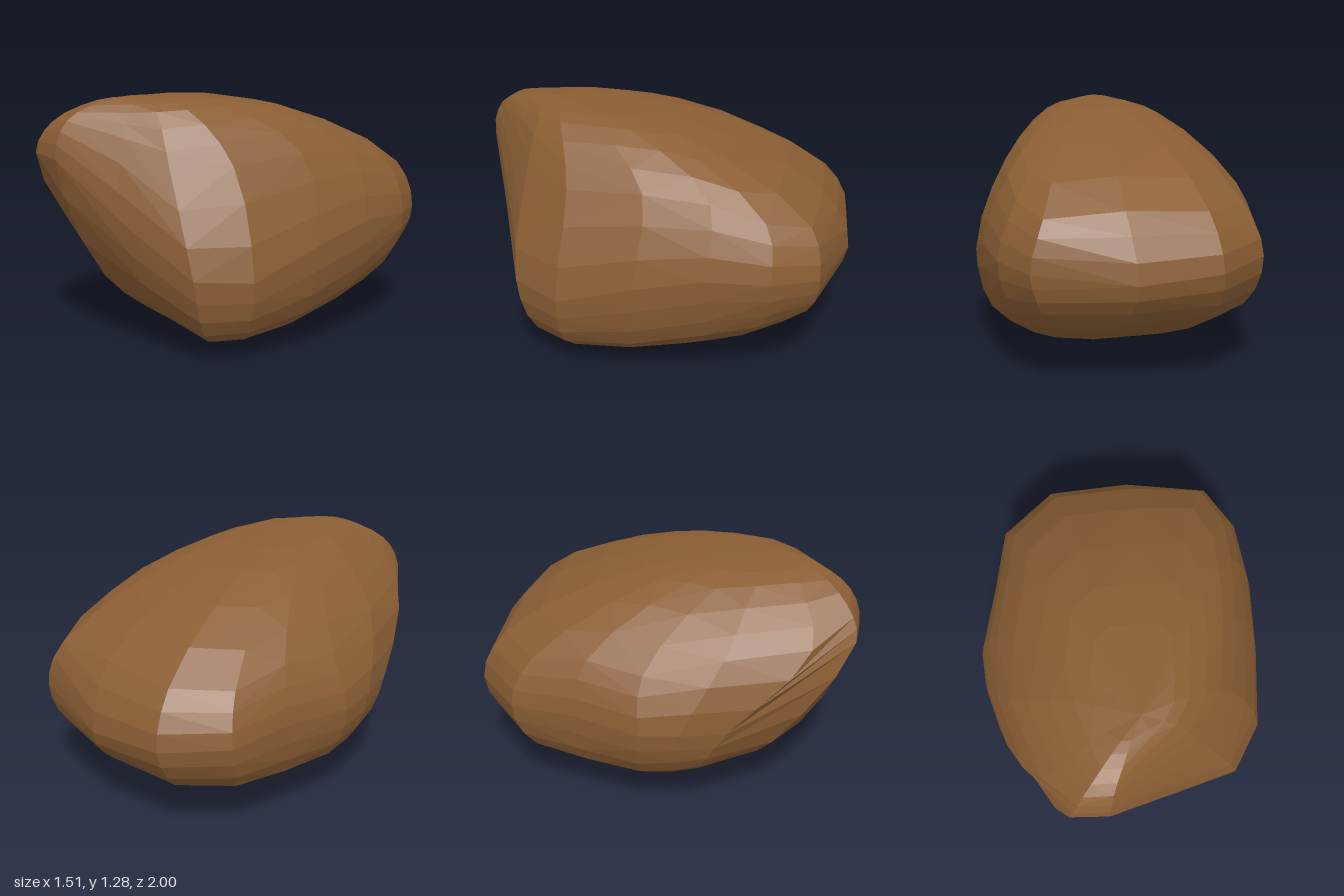
import * as THREE from 'three';

// Meridians running round the boulder from the front tip towards +x.
// Each row: shoulder x,y,z, widest point x,y,z, foot x,y,z.
const MERIDIANS = [
  [-0.06, 1.17, 0.94, -0.08, 0.98, 1.00, -0.08, 0.34, 0.73],
  [0.18, 1.10, 0.77, 0.25, 0.70, 0.83, 0.29, 0.25, 0.66],
  [0.42, 0.93, 0.65, 0.61, 0.45, 0.66, 0.57, 0.15, 0.57],
  [0.56, 0.97, 0.38, 0.75, 0.43, 0.40, 0.68, 0.16, 0.38],
  [0.60, 1.00, -0.02, 0.755, 0.55, 0.00, 0.68, 0.19, 0.03],
  [0.60, 0.98, -0.36, 0.735, 0.63, -0.35, 0.66, 0.28, -0.34],
  [0.58, 0.90, -0.63, 0.68, 0.62, -0.68, 0.60, 0.34, -0.63],
  [0.47, 0.85, -0.84, 0.54, 0.60, -0.90, 0.48, 0.39, -0.84],
  [0.08, 0.88, -0.85, 0.04, 0.55, -1.00, 0.08, 0.33, -0.86],
  [-0.33, 0.86, -0.82, -0.38, 0.58, -0.95, -0.35, 0.33, -0.81],
  [-0.56, 0.85, -0.60, -0.64, 0.60, -0.70, -0.57, 0.33, -0.60],
  [-0.60, 0.90, -0.30, -0.69, 0.62, -0.35, -0.62, 0.31, -0.30],
  [-0.65, 0.88, 0.00, -0.76, 0.60, 0.00, -0.66, 0.31, -0.02],
  [-0.57, 0.97, 0.39, -0.735, 0.61, 0.20, -0.66, 0.34, 0.14],
  [-0.42, 1.00, 0.80, -0.66, 0.61, 0.43, -0.63, 0.37, 0.29],
  [-0.21, 1.15, 0.94, -0.28, 0.99, 1.00, -0.45, 0.45, 0.63],
];
const TOP = new THREE.Vector3(0.08, 1.285, 0.58);
const BOTTOM = new THREE.Vector3(0.26, 0, 0.15);
const ROWS = 18;

// Point halfway out from a pole to a control point, kept close to the pole's height
function cap(pole, p, drop) {
  const q = pole.clone().lerp(p, 0.5);
  q.y = THREE.MathUtils.lerp(pole.y, p.y, drop);
  return q;
}

// Smooth curve from top pole to bottom pole along one meridian
function meridianPoints(m) {
  const [shoulder, waist, foot] = [0, 3, 6].map((k) => new THREE.Vector3().fromArray(m, k));
  return new THREE.CatmullRomCurve3([
    TOP, cap(TOP, shoulder, 0.18), shoulder, waist, foot, cap(BOTTOM, foot, 0.29), BOTTOM,
  ]).getPoints(ROWS);
}

function boulderGeometry() {
  const columns = MERIDIANS.map(meridianPoints);
  const corners = [];
  columns.forEach((left, j) => {
    const right = columns[(j + 1) % columns.length];
    for (let i = 0; i < ROWS; i++) {
      const [a, b, c, d] = [left[i], left[i + 1], right[i + 1], right[i]];
      if (i === 0) corners.push(a, b, c);
      else if (i === ROWS - 1) corners.push(a, b, d);
      else {
        // Split each patch along the diagonal that bulges outwards
        const normal = b.clone().sub(a).cross(c.clone().sub(a));
        const convex = d.clone().sub(a).dot(normal) <= 0;
        corners.push(...(convex ? [a, b, c, a, c, d] : [a, b, d, b, c, d]));
      }
    }
  });
  const geometry = new THREE.BufferGeometry().setFromPoints(corners);
  geometry.computeVertexNormals();
  return geometry;
}

export function createModel() {
  const model = new THREE.Group();
  model.name = 'rock';
  const stone = new THREE.MeshStandardMaterial({ color: 0x8b5e34 });
  stone.name = 'brownStone';
  stone.flatShading = true;
  const boulder = new THREE.Mesh(boulderGeometry(), stone);
  boulder.name = 'boulder';
  model.add(boulder);
  return model;
}
